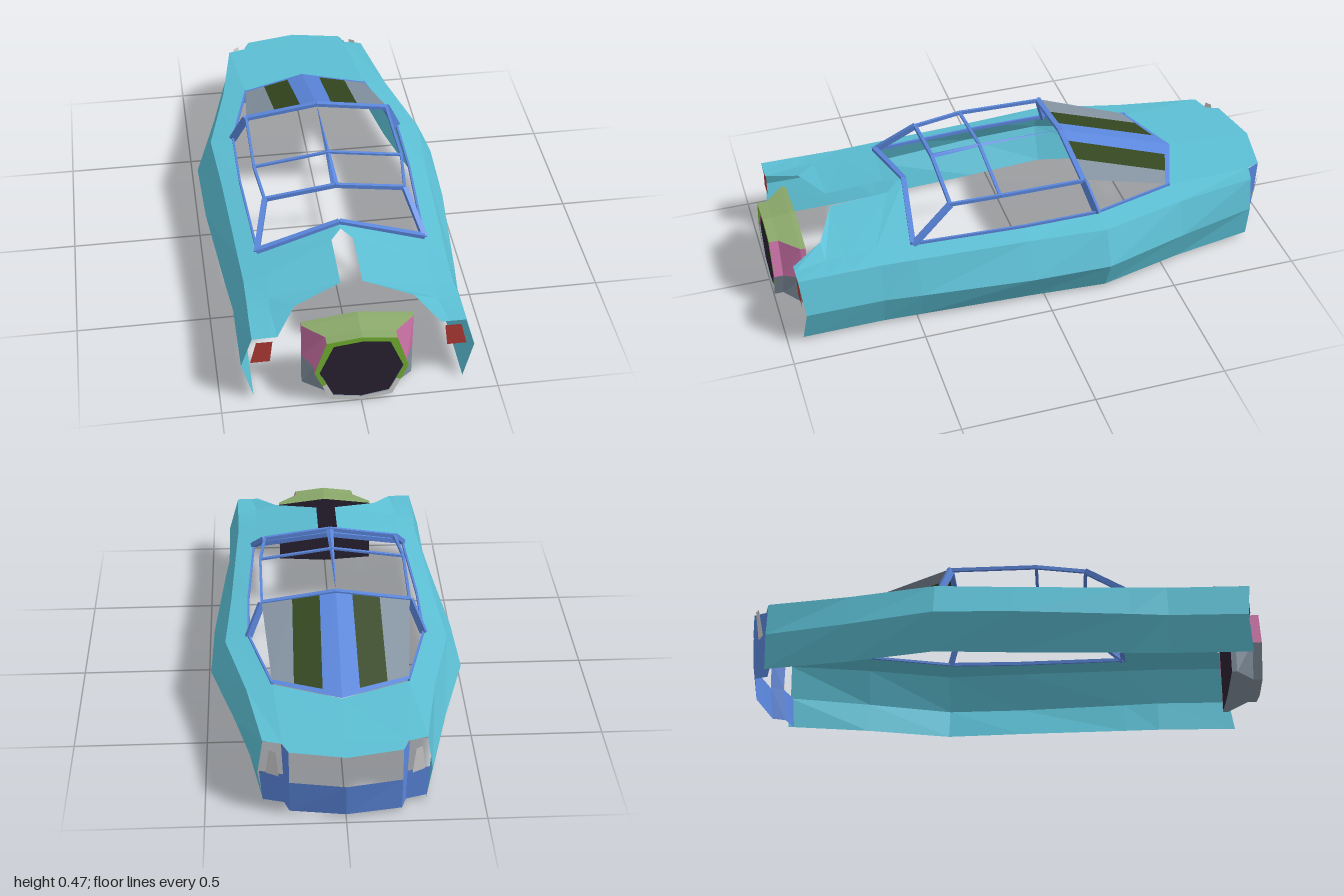
import * as THREE from 'three';

const mat = (name, color) => {
  const m = new THREE.MeshStandardMaterial({ color, flatShading: true, side: THREE.DoubleSide });
  m.name = name;
  return m;
};

export function createModel() {
  const teal = mat('teal', 0x5cbfd4), blue = mat('blue', 0x5b87dd), silver = mat('silver', 0xd2d2d2);
  const red = mat('red', 0xb23a36), pink = mat('pink', 0xc870a4), olive = mat('olive', 0x8aa86a);
  const green = mat('green', 0x74b430), grey = mat('grey', 0x8492a0), dark = mat('darkPurple', 0x2a2032);
  const moss = mat('moss', 0x33461f);
  const root = new THREE.Group();

  // Sheet of quads through rows of points (all rows equally long)
  function sheet(parent, name, material, rows) {
    const pos = [];
    for (let i = 0; i + 1 < rows.length; i++) {
      for (let j = 0; j + 1 < rows[i].length; j++) {
        const [a, b, c, d] = [rows[i][j], rows[i][j + 1], rows[i + 1][j + 1], rows[i + 1][j]];
        pos.push(...a, ...b, ...c, ...a, ...c, ...d);
      }
    }
    const g = new THREE.BufferGeometry();
    g.setAttribute('position', new THREE.Float32BufferAttribute(pos, 3));
    g.computeVertexNormals();
    const mesh = new THREE.Mesh(g, material);
    mesh.name = name;
    parent.add(mesh);
  }
  const flip = ([x, y, z]) => [-x, y, z];
  function pair(parent, name, material, rows) {
    sheet(parent, name + 'Left', material, rows);
    sheet(parent, name + 'Right', material, rows.map(r => r.map(flip).reverse()));
  }

  // Square bar between two points
  function bar(parent, name, a, b, w, h = w) {
    const p = new THREE.Vector3(...a), q = new THREE.Vector3(...b);
    const mesh = new THREE.Mesh(new THREE.BoxGeometry(w, h, p.distanceTo(q)), blue);
    mesh.position.copy(p).add(q).multiplyScalar(0.5);
    mesh.lookAt(q);
    mesh.name = name;
    parent.add(mesh);
  }
  function bars(parent, name, a, b, w, h) {
    bar(parent, name + 'Left', a, b, w, h);
    bar(parent, name + 'Right', flip(a), flip(b), w, h);
  }
  const group = name => {
    const g = new THREE.Group();
    g.name = name;
    root.add(g);
    return g;
  };

  // Hull sides: z, x of upper and lower edge, x of the waist crease
  const hull = group('hull');
  const stations = [[-0.89, 0.29, 0.31], [-0.57, 0.345, 0.39], [-0.24, 0.425, 0.484], [0.06, 0.405, 0.475],
    [0.49, 0.385, 0.435], [0.63, 0.378, 0.42], [0.94, 0.38, 0.42]];
  pair(hull, 'sideWall', teal, stations.map(([z, t, m]) =>
    [[t, 0.285, z], [m, 0.15, z > 0.9 ? 0.925 : z], [t, 0.015, z]]));

  // Deck beside the cabin
  pair(hull, 'sideDeck', teal, [
    [[0.25, 0.3, -0.56], [0.345, 0.285, -0.57]],
    [[0.335, 0.3, -0.23], [0.425, 0.285, -0.24]],
    [[0.335, 0.3, 0.06], [0.405, 0.285, 0.06]],
    [[0.31, 0.3, 0.49], [0.385, 0.285, 0.49]]]);

  // Rear deck and its overhanging tail
  pair(hull, 'rearDeck', teal, [
    [[0, 0.288, -0.91], [0.22, 0.285, -0.91], [0.29, 0.285, -0.89]],
    [[0, 0.298, -0.66], [0.25, 0.3, -0.56], [0.345, 0.285, -0.57]]]);
  pair(hull, 'tail', teal, [
    [[0, 0.284, -1], [0.2, 0.284, -0.96]],
    [[0, 0.288, -0.91], [0.22, 0.285, -0.91]]]);

  // Raised front deck, notched in the middle
  pair(hull, 'frontDeck', teal, [
    [[0, 0.37, 0.445], [0.31, 0.3, 0.49], [0.385, 0.285, 0.49]],
    [[0.04, 0.352, 0.52], [0.3, 0.3, 0.63], [0.378, 0.285, 0.63]],
    [[0.04, 0.338, 0.745], [0.3, 0.295, 0.745], [0.378, 0.285, 0.745]],
    [[0.215, 0.315, 0.82], [0.3, 0.292, 0.82], [0.38, 0.285, 0.82]],
    [[0.29, 0.286, 0.94], [0.32, 0.286, 0.94], [0.38, 0.285, 0.94]]]);
  pair(hull, 'notchTip', teal, [
    [[0, 0.37, 0.445], [0, 0.37, 0.445]],
    [[0, 0.365, 0.475], [0.04, 0.352, 0.52]]]);

  // Red front lamps and pale rear lamps
  pair(root, 'frontLamp', red, [
    [[0.307, 0.262, 0.935], [0.365, 0.262, 0.935]],
    [[0.318, 0.17, 0.935], [0.388, 0.17, 0.935]]]);
  pair(root, 'rearLamp', silver, [
    [[0.245, 0.275, -0.945], [0.268, 0.275, -0.93]],
    [[0.235, 0.16, -0.93], [0.282, 0.16, -0.905]]]);

  // Rear bumper with two full-height posts
  const bumper = group('rearBumper');
  pair(bumper, 'bumperBand', blue, [
    [[0, 0.15, -0.99], [0.2, 0.15, -0.955], [0.22, 0.15, -0.905], [0.305, 0.15, -0.88]],
    [[0, 0.015, -0.97], [0.2, 0.015, -0.94], [0.218, 0.015, -0.89], [0.295, 0.015, -0.868]]]);
  pair(bumper, 'bumperPost', blue, [
    [[0.2, 0.284, -0.96], [0.225, 0.284, -0.905]],
    [[0.2, 0.15, -0.955], [0.22, 0.15, -0.905]]]);

  // Open cabin frame
  const cabin = group('cabinFrame');
  const roofBack = [0.282, 0.425, -0.19], roofMid = [0.285, 0.43, 0.14], roofFront = [0.265, 0.418, 0.33];
  bars(cabin, 'windscreenSill', [0.315, 0.305, 0.49], [0, 0.372, 0.445], 0.02);
  bars(cabin, 'frontPillar', [0.315, 0.3, 0.49], roofFront, 0.02);
  bars(cabin, 'roofFrontBar', roofFront, [0, 0.456, 0.33], 0.013, 0.016);
  bars(cabin, 'roofMiddleBar', roofMid, [0, 0.472, 0.14], 0.012, 0.008);
  bars(cabin, 'roofRearBar', roofBack, [0, 0.468, -0.19], 0.02, 0.014);
  bars(cabin, 'roofRailFront', roofFront, roofMid, 0.01, 0.014);
  bars(cabin, 'roofRailRear', roofMid, roofBack, 0.01, 0.014);
  bars(cabin, 'middlePillar', roofBack, [0.336, 0.3, -0.23], 0.012, 0.03);
  bars(cabin, 'sillFront', [0.312, 0.303, 0.49], [0.335, 0.303, 0.06], 0.008, 0.014);
  bars(cabin, 'sillMiddle', [0.335, 0.303, 0.06], [0.335, 0.303, -0.23], 0.008, 0.014);
  bars(cabin, 'sillRear', [0.335, 0.303, -0.23], [0.25, 0.303, -0.56], 0.008, 0.01);
  // Roof spine tapering to the rear
  pair(cabin, 'roofSpine', blue, [
    [[0, 0.462, 0.33], [0.015, 0.456, 0.33]],
    [[0, 0.475, 0.14], [0.009, 0.468, 0.14]],
    [[0, 0.472, -0.16], [0.001, 0.47, -0.16]]]);

  // Folded rear window in lengthwise strips, u from ridge to side, v from roof to deck
  const rear = group('rearWindow');
  const at = (u, v) => {
    const mix = (a, b, t) => a.map((s, i) => s + (b[i] - s) * t);
    return mix(mix([0, 0.472, -0.19], [0.282, 0.428, -0.2], u), mix([0, 0.3, -0.66], [0.25, 0.304, -0.56], u), v);
  };
  const strips = [['centreStrip', blue, 0, 0, 0.22, 0.27], ['darkStrip', moss, 0.22, 0.27, 0.59, 0.68],
    ['sidePane', grey, 0.59, 0.68, 1, 1]];
  for (const [name, m, a0, a1, b0, b1] of strips) {
    pair(rear, name, m, [[at(a0, 0), at(b0, 0)], [at(a1, 0.95), at(b1, 0.95)]]);
  }
  pair(rear, 'rearRim', blue, [[at(0, 0.95), at(1, 0.95)], [at(0, 1), at(1, 1)]]);

  // Faceted nozzle at the front: half outlines from top to bottom
  const nozzle = group('nozzle');
  const wide = [[0, 0.312], [0.2, 0.287], [0.2, 0.145], [0.2, 0.015], [0, 0.002]];
  const mouth = [[0, 0.303], [0.125, 0.287], [0.168, 0.15], [0.112, 0.02], [0, 0.002]];
  const inner = [[0, 0.283], [0.1, 0.27], [0.15, 0.15], [0.1, 0.035], [0, 0.017]];
  const rings = [[wide, 0.875], [wide, 0.895], [mouth, 0.965], [mouth, 1]];
  [['hood', olive], ['upperCheek', pink], ['lowerCheek', grey], ['underside', grey]].forEach(([name, m], k) =>
    pair(nozzle, name, m, rings.map(([r, z]) => [[...r[k], z], [...r[k + 1], z]])));

  // Mouth frame: green above, silver below
  const half = (r) => [(r[2][0] + r[3][0]) / 2, (r[2][1] + r[3][1]) / 2];
  const band = (pick, z) => [mouth, inner].map(r => pick(r).map(p => [...p, z]));
  pair(nozzle, 'mouthFrameUpper', green, band(r => [r[0], r[1], r[2], half(r)], 1));
  pair(nozzle, 'mouthFrameLower', silver, band(r => [half(r), r[3], r[4]], 1));

  // Dark mouth disc and back plate
  const plate = (name, r, z) => pair(nozzle, name, dark, [r.map(([, y]) => [0, y, z]), r.map(p => [...p, z])]);
  plate('mouthDisc', inner, 0.995);
  plate('backPlate', wide, 0.877);

  return root;
}
